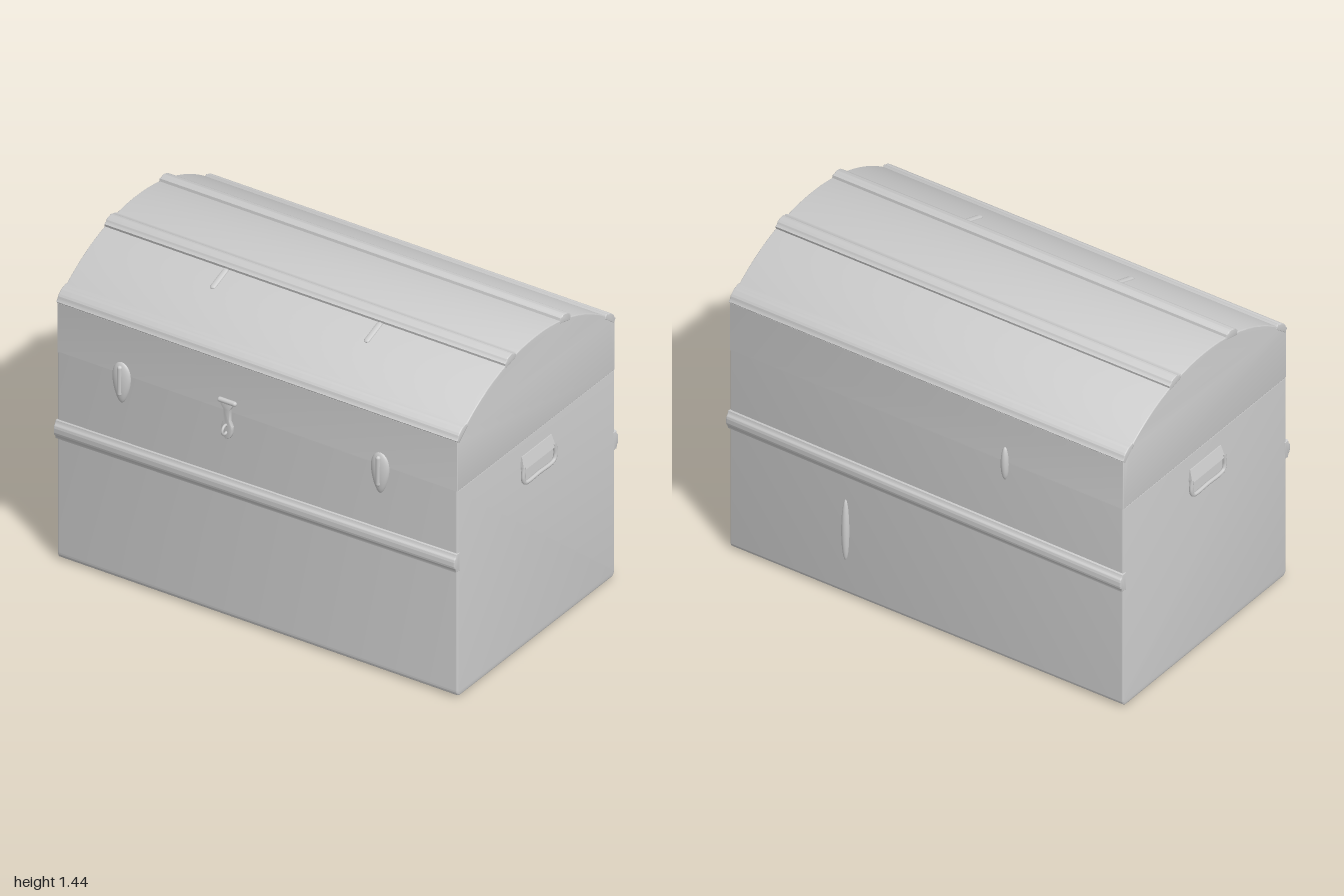
import * as THREE from 'three';
import { toCreasedNormals } from 'three/addons/utils/BufferGeometryUtils.js';

const material = new THREE.MeshStandardMaterial({ color: 0xcccccc });
const FRONT = 0.56, BACK = -0.585, MID = (FRONT + BACK) / 2;
const SEAM = 0.99, EAVE = 1.22, CROWN = 1.437;
const HALF = (FRONT - BACK) / 2;
const RADIUS = (HALF * HALF + (CROWN - EAVE) ** 2) / (2 * (CROWN - EAVE));

function add(parent, name, geometry, x = 0, y = 0, z = 0) {
  const mesh = new THREE.Mesh(geometry, material);
  mesh.name = name;
  mesh.position.set(x, y, z);
  parent.add(mesh);
  return mesh;
}

// Extrudes a (z, y) profile along x, centred on x = 0
function alongX(shape, length, bevel) {
  const g = new THREE.ExtrudeGeometry(shape, {
    depth: length - 2 * bevel, curveSegments: 24, bevelEnabled: true,
    bevelThickness: bevel, bevelSize: bevel, bevelOffset: -bevel, bevelSegments: 3,
  });
  g.translate(0, 0, bevel - length / 2);
  g.rotateY(-Math.PI / 2);
  return toCreasedNormals(g, 0.6);
}

// Low moulded slat with a raised rib down its middle
function slatGeometry(width, height) {
  const w = width / 2;
  const s = new THREE.Shape();
  s.moveTo(-w, -0.015);
  s.lineTo(w, -0.015);
  s.lineTo(w, height * 0.45);
  s.lineTo(w * 0.65, height * 0.6);
  s.quadraticCurveTo(w * 0.5, height, w * 0.2, height);
  s.lineTo(-w * 0.2, height);
  s.quadraticCurveTo(-w * 0.5, height, -w * 0.65, height * 0.6);
  s.lineTo(-w, height * 0.45);
  s.closePath();
  return alongX(s, 1.955, 0.004);
}

const domeY = (z) => CROWN - RADIUS + Math.sqrt(RADIUS ** 2 - (z - MID) ** 2);
const domeTilt = (z) => Math.asin((z - MID) / RADIUS);

function createHandle(side) {
  const handle = new THREE.Group();
  handle.name = side > 0 ? 'leftHandle' : 'rightHandle';
  // Hinge cover, thicker at its lower edge
  const cover = new THREE.Shape();
  cover.moveTo(-0.115, 0.86);
  cover.lineTo(0.115, 0.86);
  cover.lineTo(0.108, 0.915);
  cover.lineTo(-0.108, 0.915);
  cover.closePath();
  const g = new THREE.ExtrudeGeometry(cover, { depth: 0.02, bevelEnabled: false });
  const p = g.attributes.position;
  for (let i = 0; i < p.count; i++) {
    if (p.getY(i) > 0.9 && p.getZ(i) > 0.01) p.setZ(i, 0.004);
  }
  g.computeVertexNormals();
  add(handle, 'hingeCover', g);
  // Drop bail
  const points = [[-0.113, 0.875], [-0.117, 0.82], [-0.105, 0.798], [0, 0.795],
    [0.105, 0.798], [0.117, 0.82], [0.113, 0.875]]
    .map(([x, y]) => new THREE.Vector3(x, y, 0.016));
  const path = new THREE.CatmullRomCurve3(points, false, 'centripetal');
  add(handle, 'bail', new THREE.TubeGeometry(path, 48, 0.009, 8));
  handle.position.set(side * 0.975, 0, -0.012);
  handle.rotation.y = side * Math.PI / 2;
  return handle;
}

function createLatch(x) {
  const latch = new THREE.Group();
  latch.name = 'sideLatch';
  // Tapered bulge under a narrow tongue
  const bulge = new THREE.SphereGeometry(1, 24, 16);
  const p = bulge.attributes.position;
  for (let i = 0; i < p.count; i++) {
    const y = p.getY(i);
    p.setXYZ(i, p.getX(i) * (0.042 + 0.014 * y), y * 0.095, p.getZ(i) * 0.022);
  }
  bulge.computeVertexNormals();
  add(latch, 'latchBody', bulge, 0, 0.95, 0);
  add(latch, 'latchTongue', new THREE.CapsuleGeometry(0.011, 0.12, 4, 10), 0, 0.965, 0.016);
  latch.position.set(x, 0, FRONT);
  return latch;
}

function createHasp() {
  const hasp = new THREE.Group();
  hasp.name = 'hasp';
  const bar = add(hasp, 'haspHinge', new THREE.CapsuleGeometry(0.011, 0.07, 4, 10), 0, 1.04, 0.01);
  bar.rotation.z = Math.PI / 2;
  const s = new THREE.Shape();
  s.moveTo(-0.035, 1.04);
  s.lineTo(-0.012, 1.005);
  s.lineTo(-0.012, 0.95);
  s.lineTo(-0.024, 0.925);
  s.quadraticCurveTo(-0.024, 0.87, 0, 0.87);
  s.quadraticCurveTo(0.024, 0.87, 0.024, 0.925);
  s.lineTo(0.012, 0.95);
  s.lineTo(0.012, 1.005);
  s.lineTo(0.035, 1.04);
  s.closePath();
  const plate = new THREE.ExtrudeGeometry(s, { depth: 0.014, bevelEnabled: true,
    bevelSize: 0.003, bevelThickness: 0.003, bevelSegments: 2 });
  add(hasp, 'haspPlate', toCreasedNormals(plate, 0.6));
  const staple = add(hasp, 'staple', new THREE.TorusGeometry(0.02, 0.006, 8, 20), 0, 0.915, 0.026);
  staple.rotation.y = Math.PI / 2;
  hasp.position.set(-0.14, 0, FRONT);
  return hasp;
}

export function createModel() {
  const chest = new THREE.Group();
  chest.name = 'chest';

  // Box with rounded lower edges
  const box = new THREE.Shape();
  box.moveTo(BACK + 0.025, 0.01);
  box.lineTo(FRONT - 0.025, 0.01);
  box.quadraticCurveTo(FRONT, 0.01, FRONT, 0.04);
  box.lineTo(FRONT, SEAM);
  box.lineTo(BACK, SEAM);
  box.lineTo(BACK, 0.04);
  box.quadraticCurveTo(BACK, 0.01, BACK + 0.025, 0.01);
  add(chest, 'box', alongX(box, 1.95, 0.008));

  // Raised floor panel
  add(chest, 'floorPanel', new THREE.BoxGeometry(1.76, 0.02, 0.98), 0, 0.012, MID);

  // Domed lid, closing over the box
  const lid = new THREE.Shape();
  const a = Math.asin(HALF / RADIUS);
  lid.moveTo(BACK, SEAM - 0.004);
  lid.lineTo(FRONT, SEAM - 0.004);
  lid.lineTo(FRONT, EAVE);
  lid.absarc(MID, CROWN - RADIUS, RADIUS, Math.PI / 2 - a, Math.PI / 2 + a, false);
  lid.closePath();
  add(chest, 'lid', alongX(lid, 1.953, 0.004));

  // Slats across the dome
  for (const z of [0.175, -0.222]) {
    const slat = add(chest, 'domeSlat', slatGeometry(0.08, 0.024), 0, domeY(z), z);
    slat.rotation.x = domeTilt(z);
  }
  // Slats along the eaves
  for (const z of [FRONT - 0.033, BACK + 0.033]) {
    const slat = add(chest, 'eaveSlat', slatGeometry(0.085, 0.018), 0, domeY(z), z);
    slat.rotation.x = domeTilt(z);
  }
  // Slats around the waist, front and back
  for (const s of [1, -1]) {
    const slat = add(chest, 'waistSlat', slatGeometry(0.085, 0.024), 0, 0.638, s > 0 ? FRONT : BACK);
    slat.rotation.order = 'ZYX';
    slat.rotation.x = s * Math.PI / 2;
    slat.rotation.z = 0.012;
  }

  // Small clasps beside the front dome slat
  for (const x of [-0.38, 0.37]) {
    const z = 0.27;
    const clasp = add(chest, 'slatClasp', new THREE.CapsuleGeometry(0.014, 0.09, 4, 10), x, domeY(z), z);
    clasp.scale.z = 0.5;
    clasp.rotation.x = domeTilt(z) + Math.PI / 2;
  }

  // Shallow dents and ridges on the back boards
  for (const [x, y, h] of [[-0.39, 0.98, 0.08], [0.4, 0.33, 0.15]]) {
    const ridge = add(chest, 'backRidge', new THREE.SphereGeometry(1, 16, 12), x, y, BACK);
    ridge.scale.set(0.018, h, 0.02);
  }

  chest.add(createLatch(-0.66), createLatch(0.6), createHasp());
  chest.add(createHandle(1), createHandle(-1));
  return chest;
}
